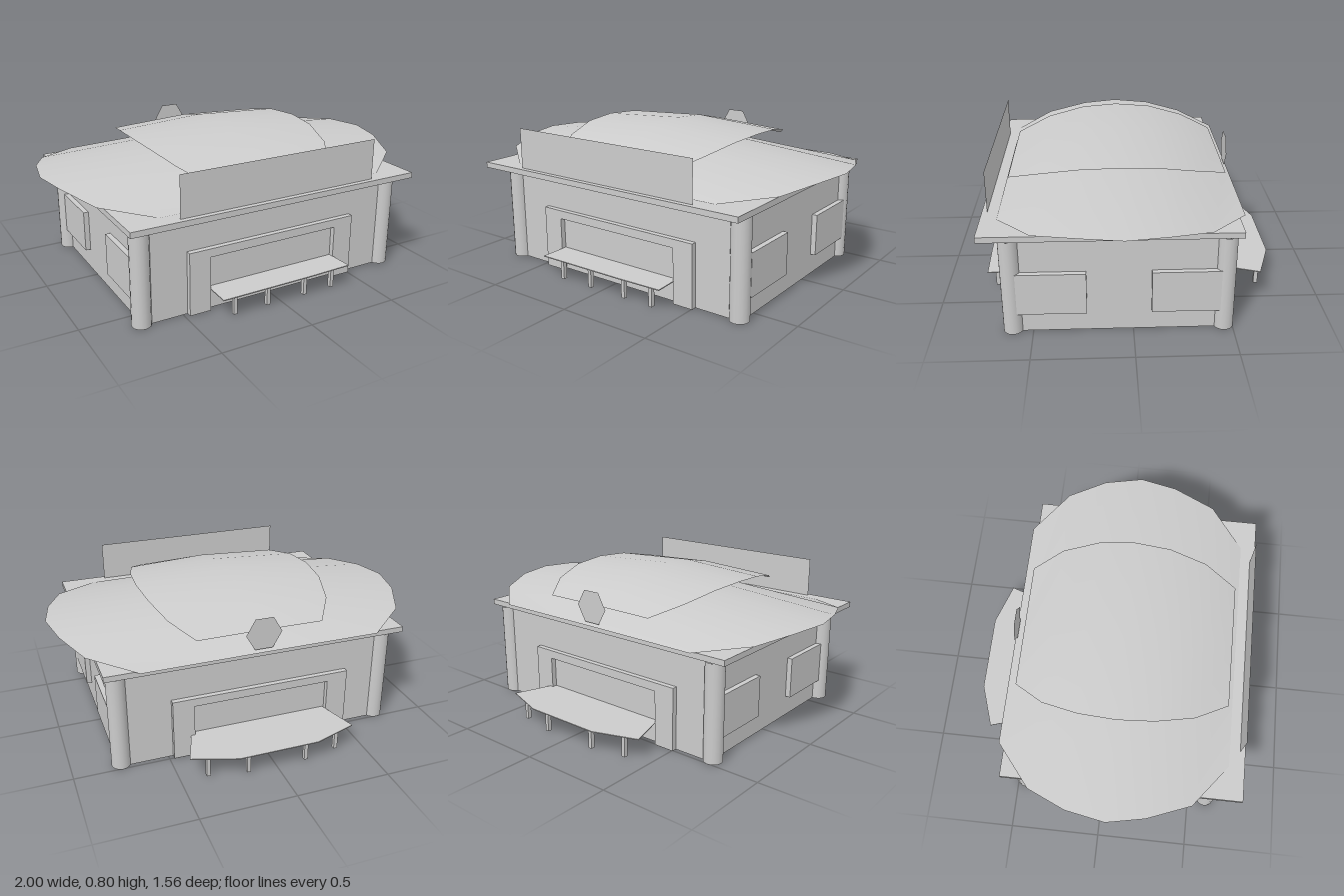
import * as THREE from 'three';

const mat = new THREE.MeshStandardMaterial({ color: 0xcccccc, side: THREE.DoubleSide });

function add(parent, name, geo, x = 0, y = 0, z = 0) {
  const m = new THREE.Mesh(geo, mat);
  m.name = name;
  m.position.set(x, y, z);
  parent.add(m);
  return m;
}

const toShape = pts => new THREE.Shape(pts.map(p => new THREE.Vector2(p[0], p[1])));
const rect = (x0, y0, x1, y1) => [[x0, y0], [x0, y1], [x1, y1], [x1, y0]];

// Hollow raised panel: a front face plus a rim back to the wall, open behind
function raisedPanel(parent, name, pts, depth) {
  add(parent, name, new THREE.ShapeGeometry(toShape(pts)), 0, 0, depth);
  const pos = [];
  pts.forEach((a, i) => {
    const b = pts[(i + 1) % pts.length];
    if (a[1] === 0 && b[1] === 0) return;
    const q = [[...a, 0], [...b, 0], [...b, depth], [...a, depth]];
    for (const k of [0, 1, 2, 0, 2, 3]) pos.push(...q[k]);
  });
  const g = new THREE.BufferGeometry();
  g.setAttribute('position', new THREE.Float32BufferAttribute(pos, 3));
  g.computeVertexNormals();
  add(parent, name + 'Rim', g);
}

// Curved roof sheet from cross rows: [z, half width, edge height, ridge height]
function roofSheet(rows) {
  const pos = [], idx = [];
  rows.forEach(([z, w, ye, yc], i) => {
    pos.push(-w, ye, z, 0, yc, z, w, ye, z);
    if (i === 0) return;
    for (let j = 0; j < 2; j++) {
      const a = (i - 1) * 3 + j, c = i * 3 + j;
      idx.push(a, a + 1, c, a + 1, c + 1, c);
    }
  });
  const g = new THREE.BufferGeometry();
  g.setAttribute('position', new THREE.Float32BufferAttribute(pos, 3));
  g.setIndex(idx);
  g.computeVertexNormals();
  return g;
}

export function createModel() {
  const root = new THREE.Group();
  root.name = 'pavilion';
  const H = 0.53, X0 = -0.714, X1 = 0.763, Z0 = -0.477, Z1 = 0.615, bump = 0.028;

  // Front and back walls, each with a raised doorway surround
  function doorWall(name, left, right, z, turn) {
    const g = new THREE.Group();
    g.name = name;
    g.position.z = z;
    g.rotation.y = turn;
    root.add(g);
    const a = -0.475, b = 0.505, h = 0.338, c = -0.36, d = 0.39, k = 0.293;
    add(g, name + 'Face', new THREE.ShapeGeometry(toShape([
      [left, 0], [a, 0], [a, h], [b, h], [b, 0], [right, 0], [right, H], [left, H]])));
    add(g, 'doorPanel', new THREE.ShapeGeometry(toShape(rect(c, 0, d, k))));
    raisedPanel(g, 'doorSurround',
      [[a, 0], [a, h], [b, h], [b, 0], [d, 0], [d, k], [c, k], [c, 0]], bump);
  }
  doorWall('frontWall', -0.71, 0.73, Z1, 0);
  doorWall('backWall', -0.73, 0.71, Z0, Math.PI);

  // Side walls, each with two raised windows, ending inside the columns
  for (const [name, x, s] of [['leftWall', X1, 1], ['rightWall', X0, -1]]) {
    const g = new THREE.Group();
    g.name = name;
    g.position.x = x;
    g.rotation.y = s * Math.PI / 2;
    root.add(g);
    const back = s * 0.435, front = -s * 0.58;
    const face = toShape([[back, 0], [front, 0], [front, H], [back, H]]);
    for (const [z0, z1] of [[0.23, 0.575], [-0.43, -0.09]]) {
      const pts = rect(-s * z0, 0.113, -s * z1, 0.337);
      face.holes.push(new THREE.Path(pts.map(p => new THREE.Vector2(p[0], p[1]))));
      raisedPanel(g, 'window', pts, bump);
    }
    add(g, name + 'Face', new THREE.ShapeGeometry(face));
  }

  // Hollow corner columns
  for (const x of [-0.717, 0.747])
    for (const z of [-0.455, 0.6])
      add(root, 'column', new THREE.CylinderGeometry(0.05, 0.05, 0.518, 16, 1, true), x, 0.259, z);

  // Eaves slab
  add(root, 'eavesSlab', new THREE.BoxGeometry(1.63, 0.03, 1.266), 0, 0.545, 0.109);

  // Two stacked roof sheets
  add(root, 'lowerRoof', roofSheet([
    [0.66, 0.64, 0.563, 0.565], [0.48, 0.868, 0.594, 0.645], [0.25, 0.96, 0.623, 0.697],
    [0.05, 1.0, 0.629, 0.709], [-0.16, 0.96, 0.623, 0.697], [-0.365, 0.868, 0.594, 0.645],
    [-0.553, 0.64, 0.563, 0.565]]));
  add(root, 'upperRoof', roofSheet([
    [0.63, 0.34, 0.652, 0.654], [0.455, 0.44, 0.712, 0.734], [0.25, 0.49, 0.752, 0.78],
    [0.055, 0.505, 0.763, 0.795], [-0.145, 0.49, 0.752, 0.78], [-0.34, 0.44, 0.712, 0.734],
    [-0.497, 0.34, 0.659, 0.661]]));

  // Flat boards above the front and back eaves
  add(root, 'frontBoard', new THREE.PlaneGeometry(1.115, 0.217), 0, 0.668, 0.715);
  add(root, 'backBadge', new THREE.CircleGeometry(0.097, 6), 0, 0.663, -0.54);

  // Canopies on thin posts
  function canopy(name, pts, posts) {
    const geo = new THREE.ExtrudeGeometry(toShape(pts.map(([x, z]) => [x, -z])),
      { depth: 0.005, bevelEnabled: false });
    add(root, name, geo.rotateX(-Math.PI / 2), 0, 0.117, 0);
    for (const [x, z] of posts)
      add(root, name + 'Post', new THREE.BoxGeometry(0.02, 0.117, 0.022), x, 0.0585, z);
  }
  canopy('frontCanopy', [[-0.36, 0.605], [-0.362, 0.776], [0.14, 0.775], [0.4, 0.768], [0.392, 0.605]],
    [-0.27, -0.077, 0.147, 0.32].map(x => [x, 0.725]));
  canopy('backCanopy', [[-0.38, -0.47], [-0.45, -0.7], [-0.215, -0.78], [0.215, -0.78],
    [0.45, -0.7], [0.37, -0.47]],
    [[0.355, -0.695], [0.152, -0.733], [-0.165, -0.733], [-0.355, -0.695]]);

  return root;
}
